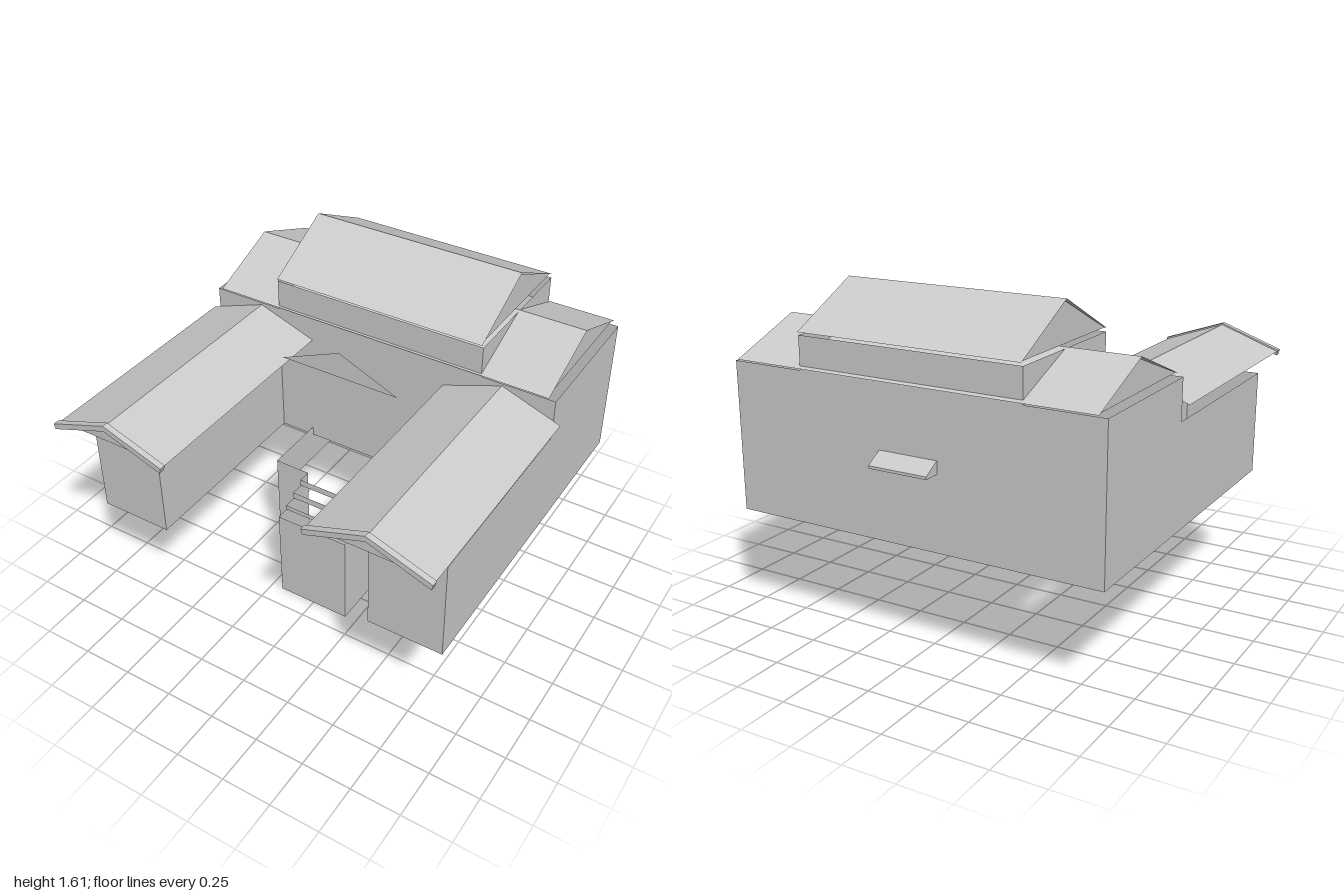
import * as THREE from 'three';

const material = new THREE.MeshStandardMaterial({ color: 0xcccccc, flatShading: true, side: THREE.DoubleSide });

function mesh(name, geometry, parent) {
  const m = new THREE.Mesh(geometry, material);
  m.name = name;
  parent.add(m);
  return m;
}

// Sheet spanned between two matching rows of [x, y, z] points
function strip(a, b) {
  const pos = [];
  for (let i = 0; i < a.length - 1; i++) {
    pos.push(...a[i], ...a[i + 1], ...b[i + 1], ...a[i], ...b[i + 1], ...b[i]);
  }
  const g = new THREE.BufferGeometry();
  g.setAttribute('position', new THREE.Float32BufferAttribute(pos, 3));
  g.computeVertexNormals();
  return g;
}

// Upright walls along a ground path of [x, z], running anticlockwise from above
const walls = (path, y0, y1) => strip(path.map(([x, z]) => [x, y0, z]), path.map(([x, z]) => [x, y1, z]));
const ring = (x, z0, z1) => [[-x, z1], [x, z1], [x, z0], [-x, z0], [-x, z1]];

// Flat or extruded outline of [x, y] points
function outline(points) {
  return new THREE.Shape(points.map(([x, y]) => new THREE.Vector2(x, y)));
}

// Gable roof with its ridge along x: two slopes and inset end triangles
function crossRoof(name, halfX, eave, ridge, zFront, zBack, parent) {
  const group = new THREE.Group();
  group.name = name;
  const zMid = (zFront + zBack) / 2;
  const row = (x) => [[x, eave, zBack], [x, ridge, zMid], [x, eave, zFront]];
  mesh(name + 'Slopes', strip(row(-halfX), row(halfX)), group);
  for (const s of [-1, 1]) {
    const x = s * (halfX - 0.01);
    const tri = [[x, eave, zBack], [x, ridge - 0.01, zMid], [x, eave, zFront]];
    const base = [[x, eave, zBack], [x, eave, zMid], [x, eave, zFront]];
    mesh(name + 'Gable', strip(tri, base), group);
  }
  parent.add(group);
}

export function createModel() {
  const model = new THREE.Group();
  model.name = 'building';
  const floor = 0.535;

  // Main block and raised attic
  mesh('mainWalls', walls(ring(0.93, -0.92, -0.19), floor, 1.248), model);
  mesh('atticWalls', walls(ring(0.56, -0.92, -0.19), 1.248, 1.405), model);
  crossRoof('lowerRoof', 0.9, 1.26, 1.41, -0.18, -0.94, model);
  crossRoof('upperRoof', 0.557, 1.42, 1.61, -0.18, -0.93, model);

  // Two forward wings with roofs and end pediments
  for (const s of [-1, 1]) {
    const wing = new THREE.Group();
    wing.name = s > 0 ? 'leftWing' : 'rightWing';
    wing.position.x = s * 0.665;
    const inner = -s * 0.105, outer = s * 0.265;
    const x0 = Math.min(inner, outer), x1 = Math.max(inner, outer);
    mesh('wingWalls', walls([[x0, -0.19], [x0, 0.8], [x1, 0.8], [x1, -0.19]], floor, 1.048), wing);

    const section = (z) => [[-0.3, 1.128, z], [0, 1.236, z], [0.3, 1.128, z]];
    mesh('wingRoof', strip(section(0.98), section(-0.19)), wing);

    const trim = outline([[-0.305, 1.135], [-0.298, 1.108], [0, 1.214], [0.298, 1.108], [0.305, 1.135], [0, 1.243]]);
    mesh('pedimentTrim', new THREE.ExtrudeGeometry(trim, { depth: 0.03, bevelEnabled: false }), wing).position.z = 0.97;
    const panel = outline([[-0.195, 1.14], [0.195, 1.14], [0, 1.212]]);
    mesh('pedimentPanel', new THREE.ShapeGeometry(panel), wing).position.z = 0.975;
    model.add(wing);
  }

  // Free-standing triangle over the courtyard
  const pediment = outline([[-0.31, 1.235], [0.31, 1.235], [0, 1.368]]);
  mesh('centrePediment', new THREE.ShapeGeometry(pediment), model).position.z = 0.14;

  // Porch base: side and back walls, with tall front panels beside the stairs
  mesh('porchWalls', walls([[0.375, 0.14], [0.375, -0.5], [-0.375, -0.5], [-0.375, 0.14]], 0.385, 0.585), model);
  for (const s of [-1, 1]) {
    const p = mesh('porchFrontPanel', new THREE.PlaneGeometry(0.185, 0.585), model);
    p.position.set(s * 0.2825, 0.2925, 0.14);
  }

  // Stairs: stepped side walls and open risers
  const steps = [[0.4, 0.49], [0.335, 0.515], [0.27, 0.55], [0.205, 0.585]];
  const profile = [[0.14, 0], [0.4, 0]];
  steps.forEach(([z, y], i) => {
    const next = i < 3 ? steps[i + 1][0] : 0.14;
    profile.push([z, y], [next, y]);
    const y0 = i ? steps[i - 1][1] : 0;
    mesh('stairRiser', walls([[-0.19, z], [0.19, z]], y0, y), model);
  });
  for (const s of [-1, 1]) {
    const side = mesh('stairSide', new THREE.ShapeGeometry(outline(profile)), model);
    side.rotation.y = -Math.PI / 2;
    side.position.x = s * 0.19;
  }

  // Small sloped canopy on the back wall
  const canopy = outline([[0.92, 0.89], [1, 0.89], [1, 0.903], [0.92, 0.95]]);
  const c = mesh('backCanopy', new THREE.ExtrudeGeometry(canopy, { depth: 0.295, bevelEnabled: false }), model);
  c.rotation.y = Math.PI / 2;
  c.position.x = -0.148;

  return model;
}
